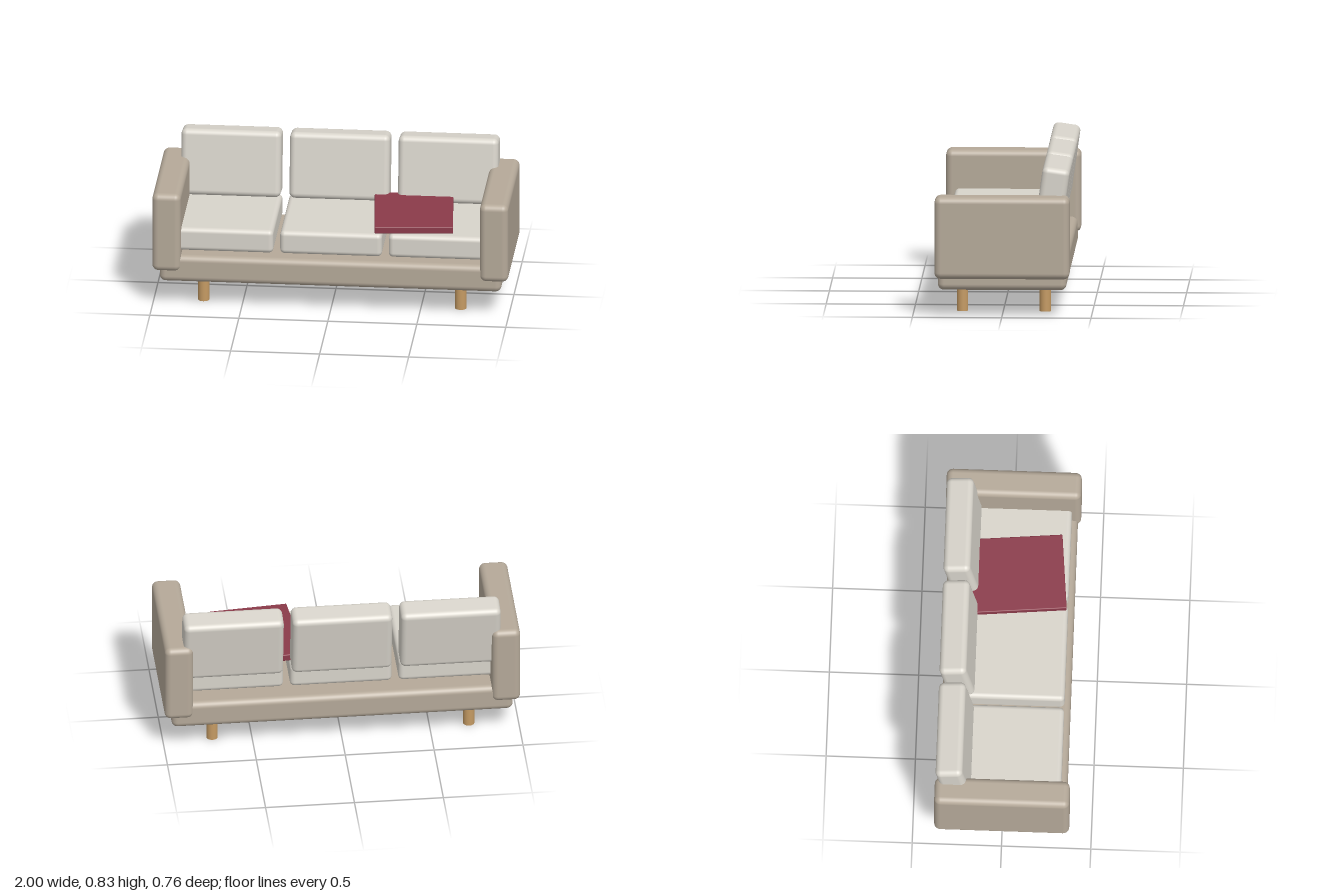
import * as THREE from 'three';
import { RoundedBoxGeometry } from 'three/addons/geometries/RoundedBoxGeometry.js';

const mat = (color) => new THREE.MeshStandardMaterial({ color });

export function createModel() {
  const sofa = new THREE.Group();
  sofa.name = 'sofa';
  const frameFabric = mat(0xb5a999);
  const cushionFabric = mat(0xd8d4cb);
  const wood = mat(0xc49a63);
  const red = mat(0x8b3a4a);

  function add(name, geometry, material, x, y, z) {
    const mesh = new THREE.Mesh(geometry, material);
    mesh.name = name;
    mesh.position.set(x, y, z);
    sofa.add(mesh);
    return mesh;
  }
  const soft = (w, h, d, r) => new RoundedBoxGeometry(w, h, d, 4, r);

  // Base platform
  add('base', soft(1.92, 0.157, 0.72, 0.035), frameFabric, 0, 0.2255, 0);

  // Armrests and round legs, mirrored left and right
  const armGeometry = soft(0.16, 0.462, 0.756, 0.035);
  const legGeometry = new THREE.CylinderGeometry(0.032, 0.032, 0.13, 24);
  for (const [side, s] of [['left', 1], ['right', -1]]) {
    add(`${side}Armrest`, armGeometry, frameFabric, s * 0.92, 0.445, 0);
    add(`${side}FrontLeg`, legGeometry, wood, s * 0.722, 0.065, 0.229);
    add(`${side}BackLeg`, legGeometry, wood, s * 0.722, 0.065, -0.235);
  }

  // Three seat cushions, each with a leaning back cushion
  const seatGeometry = soft(0.572, 0.135, 0.6, 0.027);
  const backGeometry = soft(0.562, 0.38, 0.153, 0.032);
  ['right', 'middle', 'left'].forEach((place, i) => {
    const x = (i - 1) * 0.61;
    add(`${place}SeatCushion`, seatGeometry, cushionFabric, x, 0.392, 0.027);
    const back = add(`${place}BackCushion`, backGeometry, cushionFabric, x, 0.639, -0.276);
    back.rotation.x = -0.14;
  });

  // Folded throw lying slightly askew on the seat
  const throwBlanket = add('throwBlanket', soft(0.44, 0.04, 0.53, 0.006), red, 0.441, 0.484, 0.036);
  throwBlanket.rotation.y = 0.09;

  return sofa;
}
